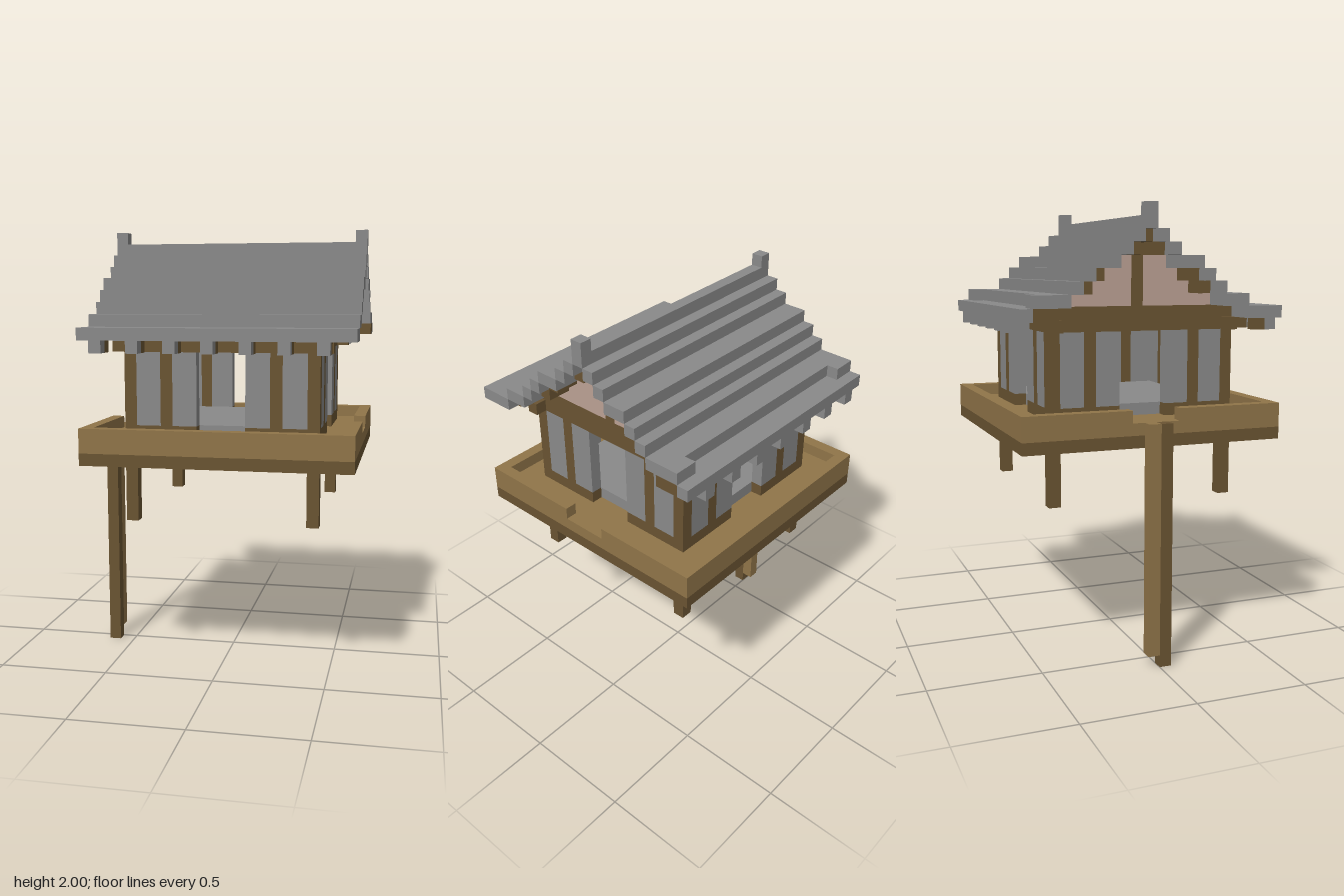
import * as THREE from 'three';

const U = 2 / 37; // one block

const makeMaterial = (name, color) => {
  const m = new THREE.MeshStandardMaterial({ color });
  m.name = name;
  return m;
};

export function createModel() {
  const group = new THREE.Group();
  const stone = makeMaterial('grey stone', 0x8a8a8a);
  const oak = makeMaterial('light wood', 0x907549);
  const dark = makeMaterial('dark wood', 0x6a5432);
  const plaster = makeMaterial('pink plaster', 0xbda295);

  // Box between block coordinates: x 0..23, y 0..37, z 0..22
  const box = (name, mat, x0, x1, y0, y1, z0, z1) => {
    const mesh = new THREE.Mesh(
      new THREE.BoxGeometry((x1 - x0) * U, (y1 - y0) * U, (z1 - z0) * U), mat);
    mesh.position.set(((x0 + x1) / 2 - 11.5) * U, ((y0 + y1) / 2) * U, ((z0 + z1) / 2 - 11) * U);
    mesh.name = name;
    group.add(mesh);
  };

  // Support pole
  box('poleDark', dark, 0, 1, 0, 20, 11, 12);
  box('poleLight', oak, 0, 1, 1, 20, 10, 11);

  // Tray: floor, dark lower rim, light upper rim with a notch on both sides
  box('trayFloor', oak, 2, 22, 19, 20, 1, 21);
  for (const z of [0, 21]) {
    box('lowerRim', dark, 1, 23, 18, 19, z, z + 1);
    box('upperRim', oak, 1, 23, 19, 21, z, z + 1);
  }
  for (const x of [1, 22]) {
    box('lowerRim', dark, x, x + 1, 18, 19, 1, 21);
    box('upperRim', oak, x, x + 1, 19, 20, 1, 21);
    box('upperRim', oak, x, x + 1, 20, 21, 1, 9);
    box('upperRim', oak, x, x + 1, 20, 21, 13, 21);
  }

  // Short legs and corner posts
  for (const x of [4, 19]) for (const z of [3, 18]) {
    box('leg', dark, x, x + 1, 13, 19, z, z + 1);
    box('cornerPost', dark, x, x + 1, 20, 27, z, z + 1);
  }
  box('houseFloor', stone, 5, 19, 20, 21, 4, 18);

  // Walls: offsets along each wall; [start, end, is it a post]
  const wallParts = [[1, 3, false], [3, 4, true], [4, 6, false],
    [10, 12, false], [12, 13, true], [13, 15, false]];
  for (const [a, b, post] of wallParts) {
    const mat = post ? dark : stone;
    const name = post ? 'wallPost' : 'wallPanel';
    for (const z of [3, 18]) {
      box('wallSill', dark, 4 + a, 4 + b, 20, 21, z, z + 1);
      box(name, mat, 4 + a, 4 + b, 21, 27, z, z + 1);
    }
    for (const x of [4, 19]) {
      box('wallSill', dark, x, x + 1, 20, 21, 3 + a, 3 + b);
      box(name, mat, x, x + 1, 21, 27, 3 + a, 3 + b);
    }
  }

  // Wall-top beams
  for (const z of [3, 18]) {
    box('eaveBeam', dark, 3, 21, 27, 28, z, z + 1);
    box('eaveBeam', dark, 4, 20, 28, 29, z, z + 1);
  }
  for (const x of [4, 19]) box('gableBeam', dark, x, x + 1, 27, 29, 4, 18);

  // Gables: stepped plaster around a king post
  const gableRows = [[29, 4], [30, 6], [31, 7], [32, 8]];
  for (const x of [4, 19]) {
    for (const [y, z] of gableRows) {
      box('gablePlaster', plaster, x, x + 1, y, y + 1, z, 10);
      box('gablePlaster', plaster, x, x + 1, y, y + 1, 11, 21 - z);
    }
    box('kingPost', dark, x, x + 1, 29, 34, 10, 11);
  }

  // Stepped roof courses [y, z start, z end], mirrored front to back
  const courses = [[34, 11, 12], [33, 12, 13], [32, 13, 15], [31, 15, 16], [30, 16, 17], [29, 17, 19]];
  const purlins = [[33, 11], [31, 14], [30, 15]];
  for (const [y, a, b] of courses) {
    box('roofCourse', stone, 1, 23, y, y + 1, a, b);
    box('roofCourse', stone, 1, 23, y, y + 1, 21 - b, 21 - a);
  }
  for (const [y, z] of purlins) {
    box('purlin', dark, 2, 22, y, y + 1, z, z + 1);
    box('purlin', dark, 2, 22, y, y + 1, 20 - z, 21 - z);
  }
  box('ridgePurlin', dark, 2, 22, 34, 35, 10, 11);
  box('ridge', stone, 1, 23, 35, 36, 10, 11);
  for (const x of [1, 22]) box('ridgeFinial', stone, x, x + 1, 36, 37, 10, 11);

  // Eaves
  box('frontEave', stone, 1, 23, 28, 29, 19, 22);
  box('backEaveEdge', stone, 1, 23, 28, 29, 0, 1);
  box('backEave', stone, 3, 21, 28, 29, 1, 3);
  for (const x of [1, 21]) {
    box('backEaveRaisedEnd', stone, x, x + 2, 29, 30, 1, 2);
    box('backEaveEndBeam', dark, x, x + 2, 28, 29, 1, 3);
  }

  // Rafter tips under both eaves
  for (let x = 2; x <= 20; x += 3) {
    box('rafterTip', stone, x, x + 1, 27, 28, 21, 22);
    box('rafter', dark, x, x + 1, 27, 28, 20, 21);
    box('rafterTip', stone, x, x + 1, 27, 28, 0, 1);
  }
  return group;
}
